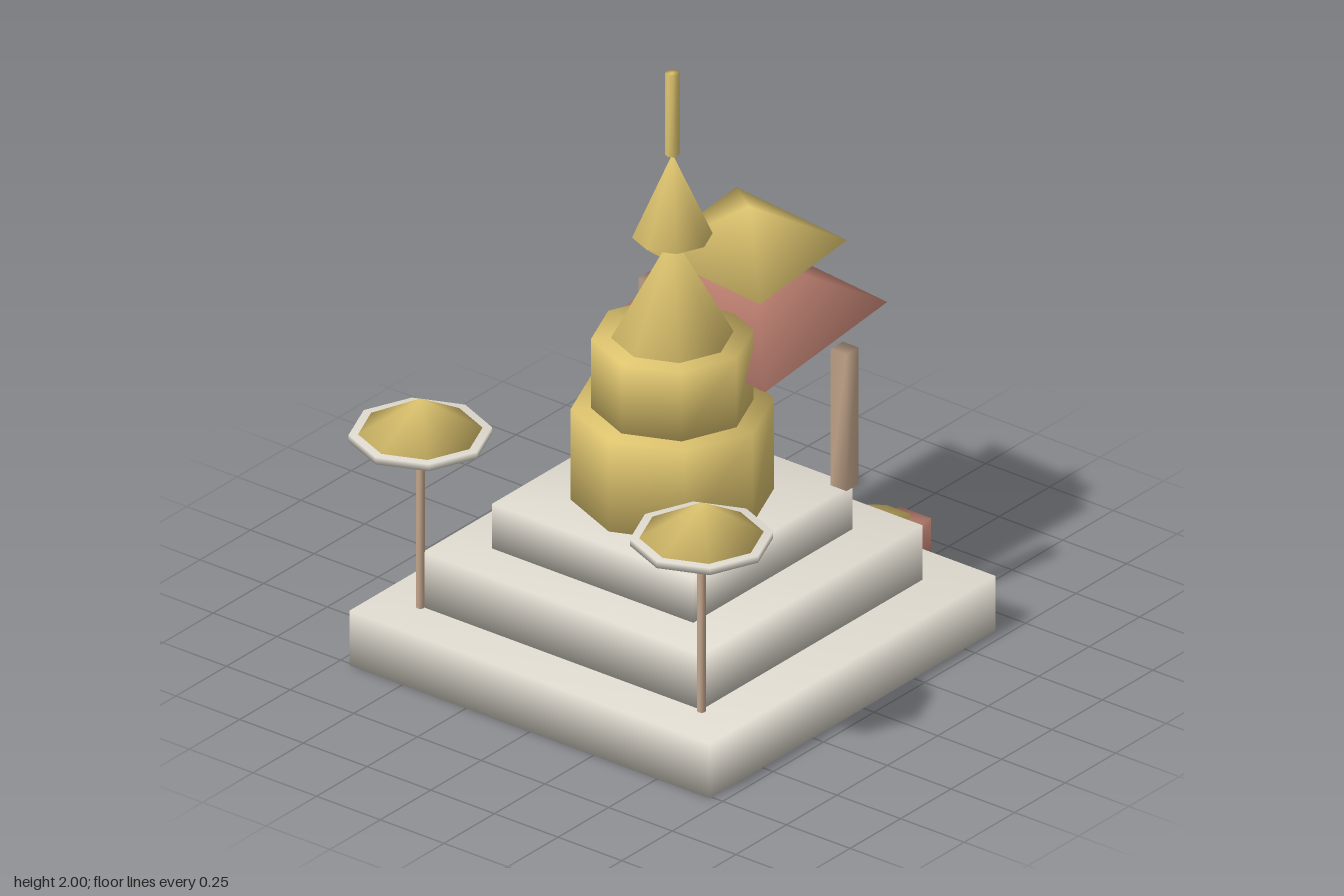
import * as THREE from 'three';
import { mergeVertices } from 'three/addons/utils/BufferGeometryUtils.js';

const paint = (color) => new THREE.MeshStandardMaterial({ color });
const stone = paint(0xe0dbd0);
const gold = paint(0xe0c670);
const red = paint(0xc98878);
const wood = paint(0xc4a68c);

// Weld corners so the shading runs softly over every edge
function soft(geometry) {
  geometry.deleteAttribute('uv');
  geometry.deleteAttribute('normal');
  const welded = mergeVertices(geometry);
  welded.computeVertexNormals();
  return welded;
}

export function createModel() {
  const model = new THREE.Group();
  model.name = 'temple';
  const axisZ = 0.053;

  function add(name, geometry, material, x, y, z, parent = model) {
    const mesh = new THREE.Mesh(soft(geometry), material);
    mesh.name = name;
    mesh.position.set(x, y, z);
    parent.add(mesh);
    return mesh;
  }
  // Box and eight-sided drum, both placed by their bottom height
  const box = (name, mat, w, h, d, x, y, z) =>
    add(name, new THREE.BoxGeometry(w, h, d), mat, x, y + h / 2, z);
  const drum = (name, mat, rTop, rBottom, y0, y1, x, z, parent) =>
    add(name, new THREE.CylinderGeometry(rTop, rBottom, y1 - y0, 8), mat, x, (y0 + y1) / 2, z, parent);

  // Stepped base
  [[1.415, 0, 0.19], [1.095, 0.19, 0.38], [0.79, 0.38, 0.535]].forEach(([w, y0, y1], i) =>
    box('baseTier' + (i + 1), stone, w, y1 - y0, w, 0, y0, axisZ));

  // Central tower
  drum('lowerDrum', gold, 0.315, 0.315, 0.535, 0.85, 0, axisZ);
  drum('upperDrum', gold, 0.252, 0.252, 0.85, 1.09, 0, axisZ);
  drum('lowerSpire', gold, 0, 0.19, 1.09, 1.435, 0, axisZ);
  drum('upperSpire', gold, 0, 0.125, 1.435, 1.718, 0, axisZ);
  drum('finial', gold, 0.023, 0.023, 1.718, 2, 0, axisZ);

  // Square pavilion roofs, tipped slightly toward the front left
  function roof(name, mat, half, height, x, y, z, slope) {
    const geometry = new THREE.ConeGeometry(half * Math.SQRT2, height, 4)
      .rotateY(Math.PI / 4)
      .translate(0, height / 2, 0);
    const mesh = add(name, geometry, mat, x, y, z);
    mesh.rotation.set(slope, 0, -slope);
  }
  roof('lowerRoof', red, 0.305, 0.205, -0.01, 1.012, -0.335, 0.105);
  roof('upperRoof', gold, 0.217, 0.15, -0.01, 1.235, -0.335, 0.105);

  // Stair at the back
  box('lowerStep', stone, 0.41, 0.07, 0.2, 0, 0, -0.65);
  box('upperStep', stone, 0.41, 0.06, 0.14, 0, 0.145, -0.55);

  for (const side of [-1, 1]) {
    // Pavilion pillars
    box('pillar', wood, 0.062, 0.475, 0.06, side * 0.377, 0.535, -0.325);

    // Sloping stair rails with block heads
    const rail = add('stairRail', new THREE.BoxGeometry(0.095, 0.18, 0.385), gold, side * 0.25, 0.225, -0.54);
    rail.rotation.x = -0.41;
    box('railHead', red, 0.125, 0.125, 0.128, side * 0.254, 0.065, -0.766);

    // Parasols on the front corners
    const parasol = new THREE.Group();
    parasol.name = 'parasol';
    parasol.position.set(side * 0.552, 0, 0.605);
    model.add(parasol);
    drum('pole', wood, 0.014, 0.014, 0.1, 0.78, 0, 0, parasol);
    drum('parasolRim', stone, 0.222, 0.222, 0.778, 0.802, 0, 0, parasol);
    drum('parasolTop', gold, 0, 0.193, 0.802, 0.915, 0, 0, parasol);
  }
  return model;
}
